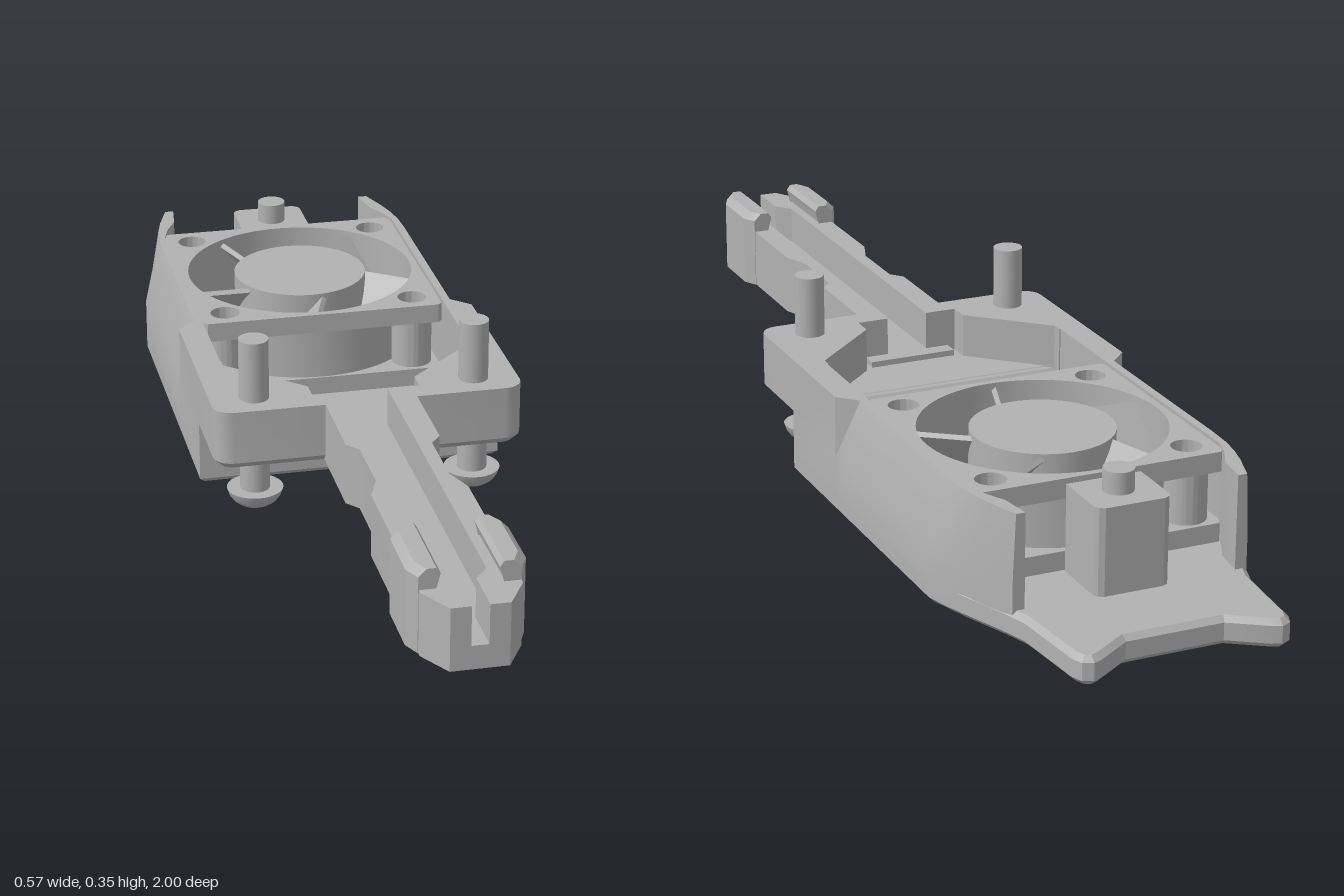
import * as THREE from 'three';
import { toCreasedNormals } from 'three/addons/utils/BufferGeometryUtils.js';

const gray = new THREE.MeshStandardMaterial({ color: 0xb2b2b2 });
gray.name = 'plain gray';

const FAN_Z = -0.44;
const toShape = (pts) => new THREE.Shape(pts.map(([x, z]) => new THREE.Vector2(x, z)));
const circle = (x, z, r) => new THREE.Path().absarc(x, z, r, 0, Math.PI * 2, false);
const mirror = (pts) => [...pts, ...pts.map(([x, z]) => [-x, z]).reverse()];

// Plate drawn in plan as (x, z), standing between heights y0 and y1.
function plan(shape, y0, y1, bevel = 0) {
  const g = new THREE.ExtrudeGeometry(shape, {
    depth: y1 - y0 - 2 * bevel, curveSegments: 40, bevelEnabled: bevel > 0,
    bevelSize: bevel, bevelOffset: -bevel, bevelThickness: bevel, bevelSegments: 1,
  });
  return toCreasedNormals(g.rotateX(Math.PI / 2).translate(0, y1 - bevel, 0), 0.4);
}

// Upright ring, such as a duct or a hollow column.
function tube(x, z, outer, inner, y0, y1) {
  const ring = new THREE.Shape().absarc(x, z, outer, 0, Math.PI * 2, false);
  ring.holes.push(circle(x, z, inner));
  return plan(ring, y0, y1);
}

// Skin over (x, y) sections ordered from high z to low z, with caps.
function loft(sections, side = 1) {
  const pos = [];
  const tri = (a, b, c) => pos.push(...a, ...(side > 0 ? [...b, ...c] : [...c, ...b]));
  const rings = sections.map(([z, pts]) => pts.map(([x, y]) => [x * side, y, z]));
  const n = rings[0].length;
  for (let k = 0; k + 1 < rings.length; k++) {
    for (let j = 0; j < n; j++) {
      const m = (j + 1) % n, p = rings[k], q = rings[k + 1];
      tri(p[j], q[j], q[m]);
      tri(p[j], q[m], p[m]);
    }
  }
  const first = rings[0], last = rings[rings.length - 1];
  for (let j = 1; j < n - 1; j++) {
    tri(first[0], first[j], first[j + 1]);
    tri(last[0], last[j + 1], last[j]);
  }
  const g = new THREE.BufferGeometry();
  g.setAttribute('position', new THREE.Float32BufferAttribute(pos, 3));
  return toCreasedNormals(g, 0.4);
}

// Turned part; the profile runs counterclockwise around the solid.
function lathe(pts, segments = 40) {
  const g = new THREE.LatheGeometry(pts.map(([r, y]) => new THREE.Vector2(r, y)), segments);
  return toCreasedNormals(g, 0.5);
}

export function createModel() {
  const model = new THREE.Group();
  model.name = 'fanMount';
  const add = (name, geometry, parent = model) => {
    const mesh = new THREE.Mesh(geometry, gray);
    mesh.name = name;
    parent.add(mesh);
  };

  // Base plate with the eared tail and the air opening
  const base = toShape(mirror([
    [0.287, 0.03], [0.287, -0.6], [0.262, -0.68], [0.228, -0.77], [0.212, -0.82],
    [0.203, -0.92], [0.199, -0.97], [0.19, -0.992], [0.172, -1], [0.155, -0.993], [0.09, -0.95],
  ]));
  base.holes.push(circle(0, FAN_Z, 0.25));
  add('basePlate', plan(base, 0.01, 0.062, 0.01));

  // Rounded lip leading into the air opening
  const lip = [[0.262, 0.062], [0.222, 0.062]];
  for (let i = 0; i <= 6; i++) {
    const a = (i / 6) * Math.PI / 2;
    lip.push([0.261 - 0.039 * Math.cos(a), 0.055 - 0.045 * Math.sin(a)]);
  }
  add('airLip', lathe(lip, 56).translate(0, 0, FAN_Z));

  // Front wall of the tray, with a sloped inner edge
  add('trayFront', loft([[0.03, 0.287, 0.15], [0.002, 0.265, 0.15], [-0.04, 0.245, 0.1]].map(
    ([z, x, top]) => [z, [[x, 0.02], [x, top], [-x, top], [-x, 0.02]]])));

  // Floor under the mounting flange
  const corner = [0, 1, 2, 3, 4, 5].map((i) => {
    const a = (i / 5) * Math.PI / 2;
    return [0.252 + 0.035 * Math.cos(a), 0.175 + 0.035 * Math.sin(a)];
  });
  add('flangeFloor', plan(toShape(mirror([[0.287, 0], ...corner])), 0.12, 0.152, 0.014));

  // Floor of the arm, ending in a step inside the recess
  const armOuter = [
    [0.085, 0.18], [0.085, 0.38], [0.065, 0.405], [0.065, 0.53], [0.085, 0.585],
    [0.085, 0.94], [0.05, 1],
  ];
  add('armFloor', plan(toShape(mirror([[0.085, 0.135], ...armOuter])), 0.12, 0.163));

  for (const side of [1, -1]) {
    const half = new THREE.Group();
    half.name = side > 0 ? 'leftSide' : 'rightSide';
    model.add(half);
    const flip = (pts) => toShape(pts.map(([x, z]) => [x * side, z]));

    // Flange rim around the funnel shaped recess
    add('flangeRim', plan(flip([
      [0.287, -0.02], ...corner, [0.04, 0.21], [0.04, 0.165], [0.1, 0.165], [0.1, 0.125],
      [0.235, 0], [0.235, -0.02],
    ]), 0.136, 0.235), half);

    // Tray side wall, its top leaning inwards beside the fan
    const wall = [
      [0.03, 0.287, 0.287, 0.237], [-0.18, 0.287, 0.287, 0.237], [-0.215, 0.287, 0.252, 0.237],
      [-0.6, 0.287, 0.252, 0.237], [-0.65, 0.273, 0.25, 0.237], [-0.69, 0.257, 0.244, 0.225],
      [-0.73, 0.243, 0.234, 0.205], [-0.79, 0.219, 0.214, 0.197],
    ].map(([z, low, top, inner]) => [z, [[low, 0.02], [low, 0.12], [top, 0.235], [inner, 0.235], [inner, 0.02]]]);
    add('traySide', loft(wall, side), half);

    // Arm wall beside the channel, closing in at the tip
    add('armWall', plan(flip([
      ...armOuter, [0.015, 1], [0.015, 0.91], [0.04, 0.88], [0.04, 0.18],
    ]), 0.16, 0.235), half);

    // Clip jaw near the tip
    const jaw = [[0.93, 0.086], [0.9, 0.1], [0.79, 0.1], [0.765, 0.086]].map(([z, x]) => [z, [
      [x, 0.12], [x, 0.258], [x - 0.014, 0.272], [0.056, 0.272], [0.049, 0.262], [0.06, 0.23], [0.06, 0.12],
    ]]);
    add('clipJaw', loft(jaw, side), half);

    // Mounting bolt with a domed, socketed head
    const bolt = new THREE.Group();
    bolt.name = 'mountingBolt';
    bolt.position.set(0.205 * side, 0, 0.15);
    half.add(bolt);
    add('boltShank', new THREE.CylinderGeometry(0.0275, 0.0275, 0.3, 32).translate(0, 0.201, 0), bolt);
    add('boltHead', lathe([
      [0, 0.042], [0.016, 0.042], [0.016, 0.025], [0.03, 0.025], [0.041, 0.033],
      [0.048, 0.043], [0.052, 0.055], [0, 0.055],
    ]), bolt);
  }

  // Rear post with its bolt
  const post = toShape(mirror([[0.07, -0.68], [0.07, -0.785], [0.065, -0.795], [0.055, -0.8]]));
  add('rearPost', plan(post, 0.055, 0.222));
  const rearBolt = new THREE.Group();
  rearBolt.name = 'rearBolt';
  rearBolt.position.z = -0.735;
  model.add(rearBolt);
  add('rearBoltShank', new THREE.CylinderGeometry(0.0275, 0.0275, 0.23, 32).translate(0, 0.147, 0), rearBolt);
  add('rearBoltHead', lathe([[0, 0.008], [0.016, 0.008], [0.016, 0], [0.024, 0], [0.04, 0.011], [0.04, 0.03]]), rearBolt);

  // Fan frame: two square plates joined by a duct and corner columns
  const fan = new THREE.Group();
  fan.name = 'fan';
  fan.position.z = FAN_Z;
  model.add(fan);
  const screws = [[1, 1], [1, -1], [-1, 1], [-1, -1]].map(([a, b]) => [a * 0.185, b * 0.187]);
  const plate = toShape(mirror([[0.227, 0.235], [0.235, 0.227], [0.235, -0.227], [0.227, -0.235]]));
  plate.holes.push(circle(0, 0, 0.222), ...screws.map(([x, z]) => circle(x, z, 0.028)));
  add('fanTopPlate', plan(plate, 0.193, 0.23), fan);
  add('fanBottomPlate', plan(plate, 0.06, 0.097), fan);
  add('fanDuct', tube(0, 0, 0.231, 0.222, 0.095, 0.195), fan);
  for (const [x, z] of screws) add('fanColumn', tube(x, z, 0.039, 0.028, 0.095, 0.195), fan);

  // Hub and five steeply pitched blades
  add('fanHub', new THREE.CylinderGeometry(0.13, 0.13, 0.155, 48).translate(0, 0.15, 0), fan);
  for (let i = 0; i < 5; i++) {
    const blade = new THREE.BoxGeometry(0.105, 0.01, 0.185);
    blade.rotateX(0.84).translate(0.161, 0.15, 0).rotateY(Math.PI + (i * Math.PI * 2) / 5);
    add('fanBlade', blade, fan);
  }
  return model;
}
